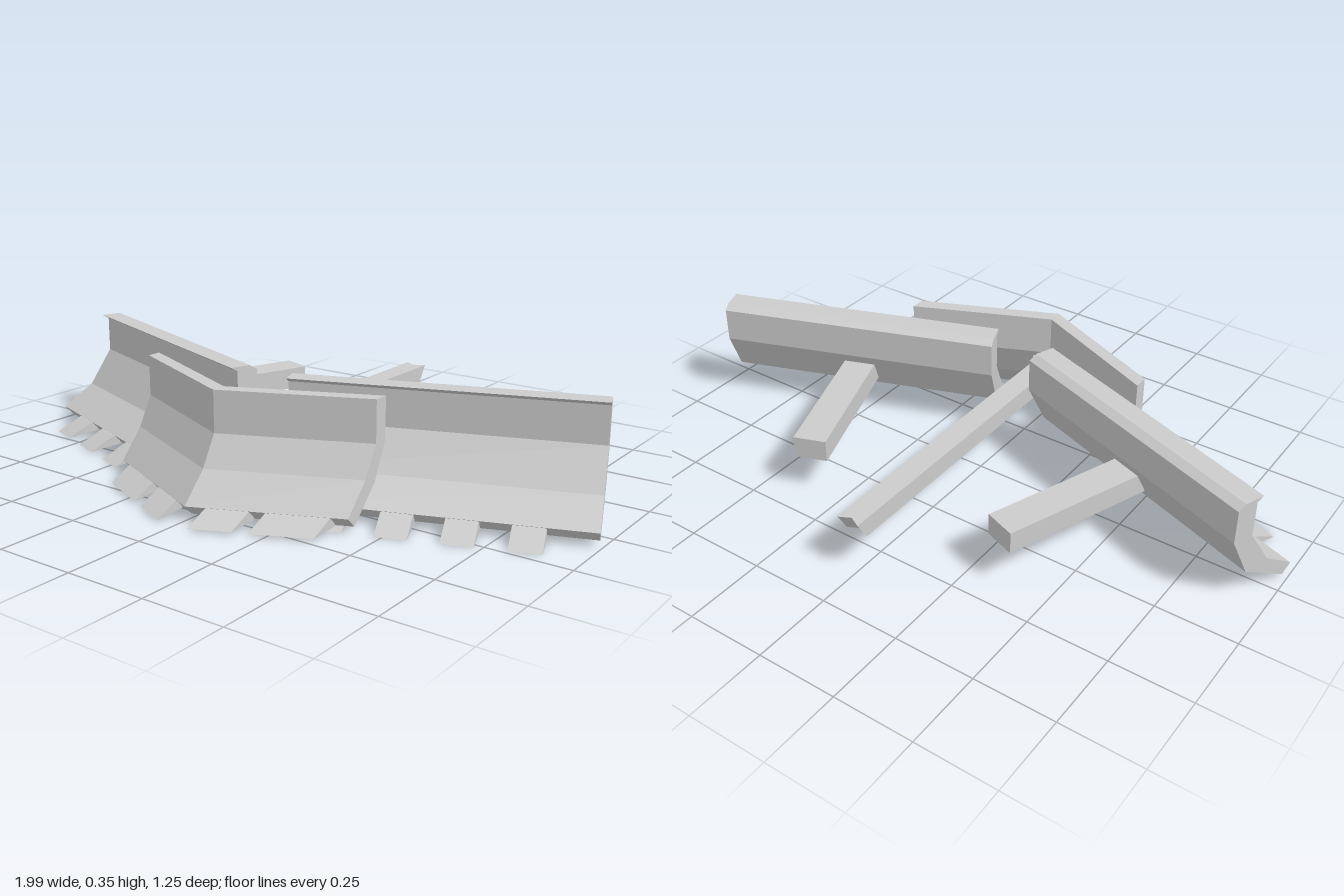
import * as THREE from 'three';

const material = new THREE.MeshStandardMaterial({ color: 0xcccccc, flatShading: true });

function addMesh(parent, name, geometry) {
  const mesh = new THREE.Mesh(geometry, material);
  mesh.name = name;
  parent.add(mesh);
  return mesh;
}

// Sweep a [z, y] cross-section between two x positions; sweep slopes z back by |x|
function prism(profile, x0, x1, sweep = 0, steps = 1) {
  const shape = new THREE.Shape(profile.map(([z, y]) => new THREE.Vector2(z, y)));
  const geometry = new THREE.ExtrudeGeometry(shape, {
    depth: Math.abs(x1 - x0), steps, bevelEnabled: false,
  });
  geometry.rotateY(-Math.PI / 2).translate(Math.max(x0, x1), 0, 0);
  const p = geometry.attributes.position;
  for (let i = 0; i < p.count; i++) p.setZ(i, p.getZ(i) - sweep * Math.abs(p.getX(i)));
  geometry.computeVertexNormals();
  return geometry;
}

// Angled wing: curved blade with a top lip, four teeth and a push arm
function createWing(side) {
  const wing = new THREE.Group();
  wing.name = side > 0 ? 'leftWing' : 'rightWing';
  const blade = [
    [0, 0.335], [0.025, 0.35], [0.088, 0.35], [0.067, 0.337], [0.067, 0.225],
    [0.143, 0.11], [0.247, 0.043], [0.22, 0.013], [0.064, 0.1], [0, 0.23],
  ];
  addMesh(wing, 'wingBlade', prism(blade, 0, -side * 0.895));

  const tooth = [[0.235, 0.044], [0.25, 0.041], [0.33, 0.001], [0.225, 0.012]];
  for (let i = 0; i < 4; i++) {
    const s = 0.137 + i * 0.177;
    addMesh(wing, 'wingTooth', prism(tooth, -side * s, -side * (s + 0.09)));
  }

  const arm = [[-0.431, 0.128], [-0.431, 0.197], [0.06, 0.197], [0.06, 0.128]];
  addMesh(wing, 'pushArm', prism(arm, -side * 0.397, -side * 0.498));

  wing.position.set(side * 0.91, 0, -0.15);
  wing.rotation.y = side * THREE.MathUtils.degToRad(20.2);
  return wing;
}

// Swept-back centre blade with two teeth on each half
function createCentre() {
  const centre = new THREE.Group();
  centre.name = 'centreBlade';
  const sweep = 0.445;
  const blade = [
    [0.395, 0.345], [0.44, 0.345], [0.44, 0.22], [0.49, 0.13],
    [0.57, 0.043], [0.54, 0.013], [0.445, 0.11], [0.395, 0.22],
  ];
  addMesh(centre, 'vBlade', prism(blade, -0.415, 0.415, sweep, 2));

  const tooth = [[0.558, 0.048], [0.572, 0.041], [0.645, 0.007], [0.545, 0.012]];
  for (const side of [-1, 1]) {
    for (const [a, b] of [[0.053, 0.165], [0.207, 0.37]]) {
      addMesh(centre, 'centreTooth', prism(tooth, side * a, side * b, sweep));
    }
  }
  return centre;
}

// Long centre beam: notched, slanted rear end and flared front end
function createBeam() {
  const plan = [
    [-0.035, -0.63], [0, -0.612], [0.035, -0.63], [0.035, 0.34],
    [0.055, 0.38], [0, 0.405], [-0.055, 0.38], [-0.035, 0.34],
  ];
  const shape = new THREE.Shape(plan.map(([x, z]) => new THREE.Vector2(x, -z)));
  const geometry = new THREE.ExtrudeGeometry(shape, { depth: 0.06, bevelEnabled: false });
  geometry.rotateX(-Math.PI / 2).translate(0, 0.14, 0);
  const p = geometry.attributes.position;
  for (let i = 0; i < p.count; i++) {
    if (p.getY(i) < 0.17 && p.getZ(i) < -0.5) p.setZ(i, p.getZ(i) + 0.035);
  }
  geometry.computeVertexNormals();
  return geometry;
}

export function createModel() {
  const model = new THREE.Group();
  model.name = 'plough';
  model.add(createCentre(), createWing(1), createWing(-1));
  addMesh(model, 'centreBeam', createBeam());
  return model;
}
